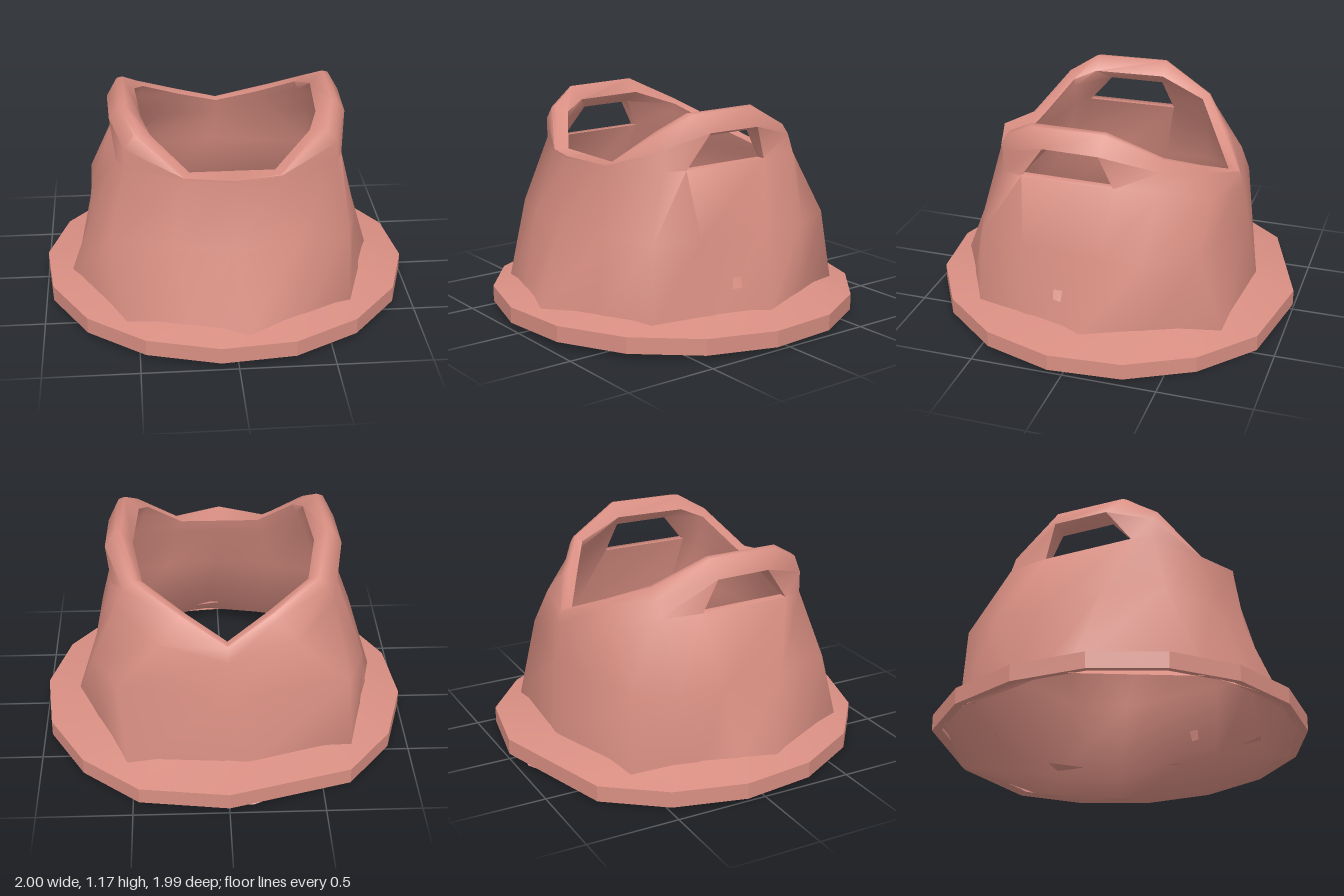
import * as THREE from 'three';
import { toCreasedNormals } from 'three/addons/utils/BufferGeometryUtils.js';

const clay = new THREE.MeshStandardMaterial({ color: 0xd88e82, side: THREE.DoubleSide });
clay.name = 'terracotta pink';

// Builds a surface from quads, dropping collapsed triangles
function quadMesh(name, quads, crease) {
  const pos = [];
  const tri = (...p) => {
    const [a, b, c] = p.map(q => new THREE.Vector3(...q));
    if (b.sub(a).cross(c.sub(a)).length() > 1e-6) pos.push(...p.flat());
  };
  quads.forEach(([a, b, c, d]) => { tri(a, b, c); tri(a, c, d); });
  const geo = new THREE.BufferGeometry();
  geo.setAttribute('position', new THREE.Float32BufferAttribute(pos, 3));
  const mesh = new THREE.Mesh(toCreasedNormals(geo, crease), clay);
  mesh.name = name;
  return mesh;
}

// Quads between neighbouring columns of a closed loop
function loft(columns, skip = () => false) {
  const quads = [];
  columns.forEach((a, i) => {
    const b = columns[(i + 1) % columns.length];
    for (let j = 0; j < a.length - 1; j++) {
      if (!skip(i, j)) quads.push([a[j], b[j], b[j + 1], a[j + 1]]);
    }
  });
  return quads;
}

// Point of an outline (x, z) in the direction of (px, pz), scaled from the axis
function onOutline(outline, px, pz, scale) {
  for (let i = 0; i < outline.length; i++) {
    const [ax, az] = outline[i], [bx, bz] = outline[(i + 1) % outline.length];
    const ex = bx - ax, ez = bz - az, det = px * ez - pz * ex;
    const r = (ax * ez - az * ex) / det, s = (ax * pz - az * px) / det;
    if (r > 0 && s >= -1e-6 && s <= 1 + 1e-6) return [px * r * scale, pz * r * scale];
  }
  return [px, pz];
}

const mix = (a, b, t) => a.map((v, k) => v + (b[k] - v) * t);

// Uneven outlines (x, z) of the wall foot and waist, from the front round the +x side
const foot = [[0.06, 0.905], [0.35, 0.75], [0.63, 0.6], [0.73, 0.28], [0.82, -0.02], [0.69, -0.35], [0.53, -0.72],
  [-0.1, -0.77], [-0.67, -0.6], [-0.76, -0.25], [-0.82, -0.05], [-0.86, 0.15], [-0.56, 0.72], [-0.25, 0.81]];
const waist = [[0, 0.74], [0.33, 0.68], [0.61, 0.58], [0.68, 0.32], [0.7, -0.1], [0.71, -0.33], [0.57, -0.6],
  [-0.02, -0.72], [-0.64, -0.59], [-0.74, -0.35], [-0.73, -0.08], [-0.73, 0.25], [-0.63, 0.57], [-0.33, 0.68]];

// Flange outline (x, z)
const edge = [[-0.09, 0.99], [0.3, 0.95], [0.64, 0.76], [0.89, 0.45], [1, 0.08], [0.96, -0.31], [0.77, -0.65],
  [0.47, -0.9], [0, -1], [-0.65, -0.78], [-0.89, -0.48], [-1, -0.1], [-0.96, 0.29], [-0.77, 0.64], [-0.47, 0.88]];
const edgeLow = z => (z < -0.95 ? 0.03 : 0.015 + 0.016 * z);

// Upper wall of one half, front to back: outer low, outer arch, crest, inner crest, inner low
const upper = [
  [[0, 0.89, 0.68], [0, 0.905, 0.68], [0, 0.905, 0.68], [0, 0.89, 0.53], [0, 0.8, 0.56]],
  [[0.25, 0.88, 0.6], [0.25, 0.89, 0.6], [0.25, 0.89, 0.6], [0.22, 0.89, 0.53], [0.25, 0.8, 0.55]],
  [[0.55, 0.89, 0.46], [0.55, 1.0, 0.46], [0.48, 1.09, 0.46], [0.41, 1.05, 0.41], [0.48, 0.88, 0.42]],
  [[0.59, 0.89, 0.35], [0.62, 1.07, 0.22], [0.55, 1.185, 0.31], [0.455, 1.1, 0.29], [0.54, 0.89, 0.35]],
  [[0.6, 0.89, -0.15], [0.63, 1.07, -0.08], [0.56, 1.19, -0.1], [0.48, 1.1, -0.1], [0.55, 0.89, -0.15]],
  [[0.57, 0.89, -0.38], [0.53, 0.98, -0.38], [0.47, 1.04, -0.38], [0.43, 1.01, -0.35], [0.5, 0.85, -0.36]],
  [[0.36, 0.78, -0.6], [0.27, 0.89, -0.55], [0.24, 0.92, -0.53], [0.22, 0.9, -0.48], [0.32, 0.75, -0.54]],
  [[0, 0.72, -0.69], [0, 0.79, -0.675], [0, 0.805, -0.665], [0, 0.8, -0.61], [0, 0.7, -0.63]],
];

// Double wall, its lining spreading out to the rim below the flange
function makeWall() {
  const columns = foot.map(([fx, fz], i) => {
    const [wx, wz] = waist[i];
    const mirrored = i > 7, half = mirrored ? 14 - i : i;
    const [low, arch, crest, inCrest, inLow] = upper[half].map(([x, y, z]) => [mirrored ? -x : x, y, z]);
    // Grip columns carry the upper corners of the opening through the wall
    const isGrip = half === 3 || half === 4;
    const inArch = isGrip ? [arch[0] * 0.86, arch[1] - 0.03, arch[2]] : mix(inCrest, inLow, 0.3);
    const [ex, ez] = onOutline(edge, fx, fz, 0.985);
    return [[fx, 0.115, fz], [wx, 0.53, wz], low, arch, mix(crest, arch, 0.2), mix(crest, inCrest, 0.2),
      inCrest, inArch, inLow, [wx * 0.94, 0.53, wz * 0.94], [fx * 0.96, 0.11, fz * 0.96],
      [ex, edgeLow(ez) + 0.003, ez]];
  });
  // Leave the grip openings free and line their edges
  const grips = [3, 10];
  const quads = loft(columns, (i, j) => grips.includes(i) && (j === 2 || j === 7));
  for (const g of grips) {
    const a = columns[g], b = columns[g + 1];
    const outer = [a[2], b[2], b[3], a[3]], inner = [a[8], b[8], b[7], a[7]];
    outer.forEach((p, k) => {
      const n = (k + 1) % 4;
      quads.push([p, outer[n], inner[n], inner[k]]);
    });
  }
  return quadMesh('bucketWallWithHandles', quads, 1.35);
}

// Fifteen-sided sloping flange
function makeFlange() {
  const columns = edge.map(([x, z]) => {
    const [ix, iz] = onOutline(foot, x, z, 0.98);
    const low = edgeLow(z);
    return [[x * 0.95, low + 0.01, z * 0.95], [x, low, z], [x, low + 0.087, z], [ix, 0.152, iz]];
  });
  return quadMesh('baseFlange', loft(columns), 0.3);
}

export function createModel() {
  const group = new THREE.Group();
  group.name = 'bucket';
  group.add(makeWall(), makeFlange());
  return group;
}
